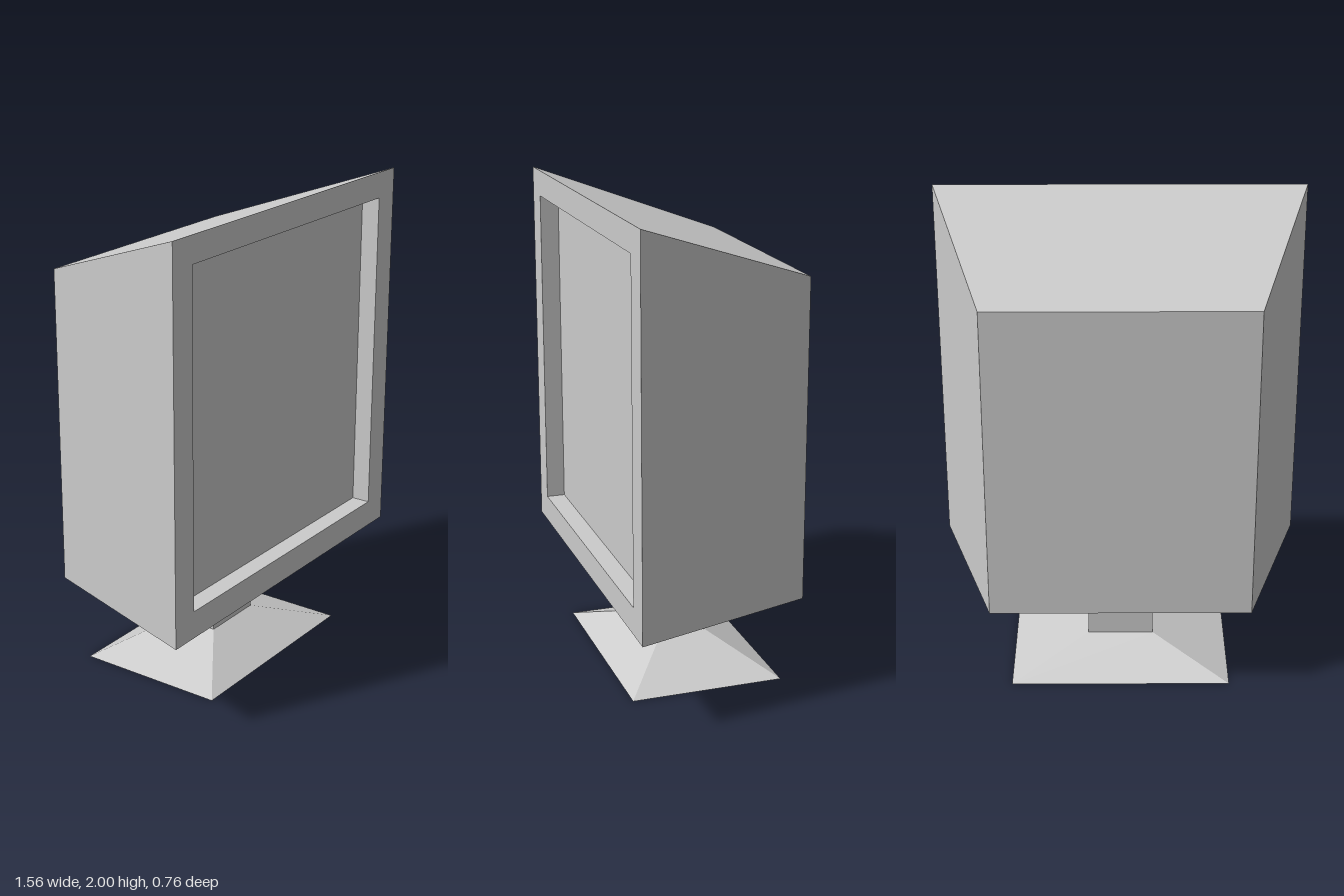
import * as THREE from 'three';

const material = new THREE.MeshStandardMaterial({ color: 0xcccccc });

function add(group, name, geometry, x = 0, y = 0, z = 0) {
  const mesh = new THREE.Mesh(geometry, material);
  mesh.name = name;
  mesh.position.set(x, y, z);
  group.add(mesh);
  return mesh;
}

// Rectangle facing +z, anticlockwise from bottom left
const frontRect = (w, y0, y1, z) => [[-w, y0, z], [w, y0, z], [w, y1, z], [-w, y1, z]];
// Rectangle facing +y, anticlockwise seen from above
const floorRect = (w, d, y) => [[-w, y, d], [w, y, d], [w, y, -d], [-w, y, -d]];

// Flat-sided skin through four-cornered rings, capped at both ends
function loft(rings) {
  const points = [];
  const quad = (a, b, c, d) => points.push(...a, ...b, ...c, ...a, ...c, ...d);
  for (let i = 0; i < rings.length - 1; i++) {
    const p = rings[i], q = rings[i + 1];
    for (let k = 0; k < 4; k++) {
      const n = (k + 1) % 4;
      quad(p[k], p[n], q[n], q[k]);
    }
  }
  quad(...[...rings[0]].reverse());
  quad(...rings[rings.length - 1]);
  const geometry = new THREE.BufferGeometry();
  geometry.setAttribute('position', new THREE.Float32BufferAttribute(points, 3));
  geometry.computeVertexNormals();
  return geometry;
}

export function createModel() {
  const model = new THREE.Group();
  model.name = 'monitor';

  // Housing tapers to the back; its skin folds in at the bezel to the recessed screen
  add(model, 'housing', loft([
    frontRect(0.545, 0.39, 1.73, -0.38),
    frontRect(0.78, 0.39, 2, 0.38),
    frontRect(0.662, 0.505, 1.89, 0.38),
    frontRect(0.662, 0.505, 1.89, 0.3),
  ]));

  // Stand
  add(model, 'post', new THREE.CylinderGeometry(0.072, 0.072, 0.15, 32), 0, 0.315, 0);
  add(model, 'neckBlock', new THREE.BoxGeometry(0.28, 0.12, 0.2), 0, 0.18, 0);
  add(model, 'base', loft([floorRect(0.465, 0.323, 0), floorRect(0.14, 0.1, 0.12)]));

  // Rectangular ring around the switch on the neck block
  const ring = new THREE.TorusGeometry(0.8, 0.2, 12, 4).rotateZ(Math.PI / 4);
  ring.scale(0.053 * Math.SQRT2, 0.021 * Math.SQRT2, 0.075);
  add(model, 'switchRing', ring, -0.003, 0.18, 0.1);

  return model;
}
